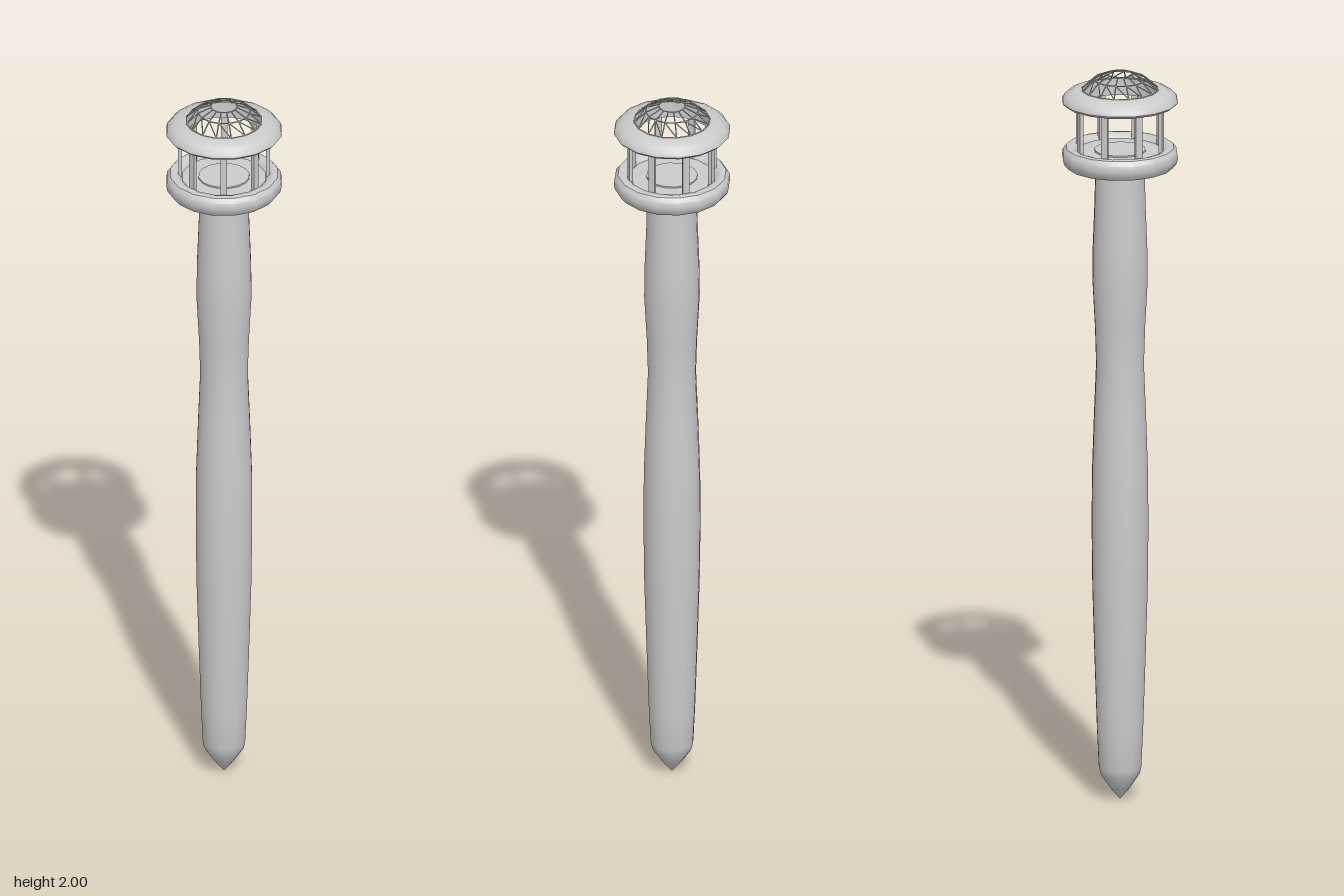
import * as THREE from 'three';
import { toCreasedNormals } from 'three/addons/utils/BufferGeometryUtils.js';

const SIDES = 16;
const grey = new THREE.MeshStandardMaterial({ color: 0xcccccc, side: THREE.DoubleSide });

function add(parent, name, geometry) {
  const mesh = new THREE.Mesh(geometry, grey);
  mesh.name = name;
  parent.add(mesh);
  return mesh;
}

// Turned part from [radius, height] pairs, listed bottom to top around the outside
function turned(profile) {
  const points = profile.map(([r, y]) => new THREE.Vector2(r, y));
  return toCreasedNormals(new THREE.LatheGeometry(points, SIDES), 0.6);
}

// Point on a level of the dome, at step i around the axis
function around(r, y, i) {
  const a = (i / SIDES) * Math.PI * 2;
  return new THREE.Vector3(Math.sin(a) * r, y, Math.cos(a) * r);
}

// Thin bar between two points
function bar(parent, name, a, b, radius) {
  const dir = b.clone().sub(a);
  const mesh = add(parent, name, new THREE.CylinderGeometry(radius, radius, dir.length(), 5));
  mesh.position.copy(a).add(b).multiplyScalar(0.5);
  mesh.quaternion.setFromUnitVectors(new THREE.Vector3(0, 1, 0), dir.normalize());
}

export function createModel() {
  const model = new THREE.Group();
  model.name = 'lanternTower';

  // Long shaft with two gentle swellings and a pointed foot
  add(model, 'shaft', turned([
    [0, 0], [0.025, 0.03], [0.052, 0.07], [0.057, 0.09], [0.062, 0.2], [0.068, 0.38],
    [0.074, 0.58], [0.076, 0.75], [0.075, 0.9], [0.07, 1.05], [0.064, 1.2],
    [0.067, 1.3], [0.074, 1.43], [0.073, 1.52], [0.068, 1.65], [0.066, 1.75],
  ]));

  // Gallery: rounded rim around a slightly sunken floor
  add(model, 'gallery', turned([
    [0, 1.745], [0.142, 1.745], [0.152, 1.758], [0.155, 1.772], [0.153, 1.786],
    [0.144, 1.798], [0.132, 1.8], [0.12, 1.796], [0.112, 1.787], [0, 1.787],
  ]));
  add(model, 'floorStep', turned([[0.068, 1.786], [0.068, 1.791], [0, 1.791]]));

  // Eight posts between the gallery and the roof
  const posts = new THREE.Group();
  posts.name = 'posts';
  model.add(posts);
  for (let i = 0; i < 8; i++) {
    const p = around(0.116, 1.854, i * 2 + 0.5);
    const post = add(posts, 'post', new THREE.BoxGeometry(0.018, 0.132, 0.01));
    post.position.copy(p);
    post.rotation.y = Math.atan2(p.x, p.z);
  }

  // Roof ring with an open centre
  add(model, 'roofRing', turned([
    [0.102, 1.91], [0.122, 1.91], [0.124, 1.917], [0.148, 1.917], [0.155, 1.924],
    [0.153, 1.932], [0.142, 1.944], [0.124, 1.953], [0.102, 1.956], [0.102, 1.91],
  ]));

  // Open lattice dome
  const dome = new THREE.Group();
  dome.name = 'dome';
  model.add(dome);
  const levels = [[0.101, 1.956], [0.07, 1.984], [0.035, 1.998]];
  for (let i = 0; i < SIDES; i++) {
    for (const [r, y] of levels) bar(dome, 'domeHoop', around(r, y, i), around(r, y, i + 1), 0.0018);
    for (let k = 0; k < 2; k++) {
      bar(dome, 'domeRib', around(...levels[k], i), around(...levels[k + 1], i), 0.0018);
    }
    bar(dome, 'domeBrace', around(...levels[0], i + 1), around(...levels[1], i), 0.0015);
  }
  return model;
}
